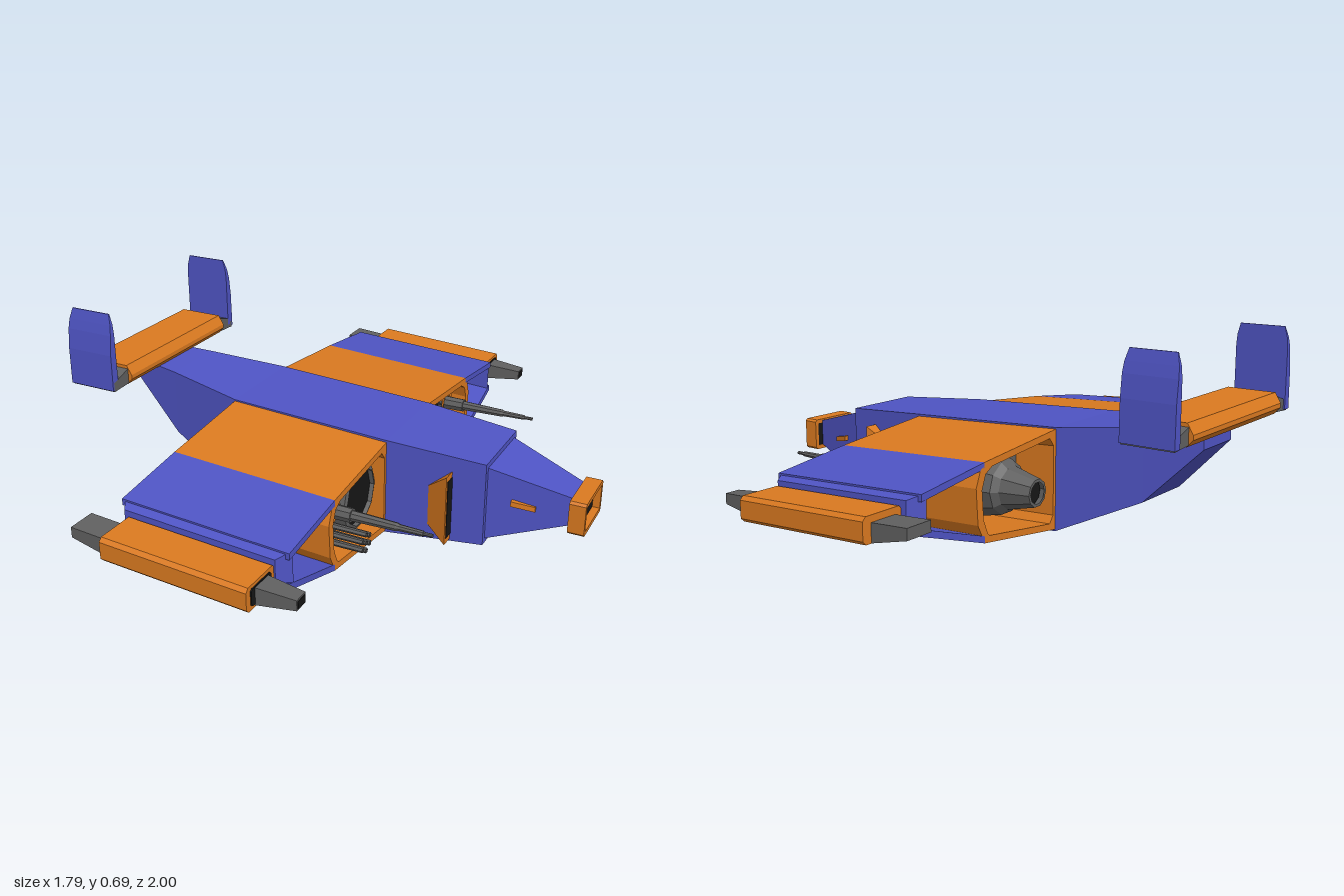
import * as THREE from 'three';

const paint = (color) => new THREE.MeshStandardMaterial({ color, flatShading: true, side: THREE.DoubleSide });
const blue = paint(0x4f54c4), orange = paint(0xdb7a20), grey = paint(0x606060), black = paint(0x161616);

const SLOPE = -0.055; // wings and pods drop slightly toward the nose
const FRONT = 0.235, REAR = -0.35;

export function createModel() {
  const model = new THREE.Group();

  function add(name, geometry, material, parent = model) {
    const mesh = new THREE.Mesh(geometry, material);
    mesh.name = name;
    parent.add(mesh);
    return mesh;
  }

  // Box along x whose two ends have their own [y0, y1, z0, z1]
  function taper(x0, a, x1, b) {
    const g = new THREE.BoxGeometry(1, 1, 1), p = g.attributes.position;
    for (let i = 0; i < p.count; i++) {
      const e = p.getX(i) < 0 ? a : b;
      p.setXYZ(i, p.getX(i) < 0 ? x0 : x1, p.getY(i) < 0 ? e[0] : e[1], p.getZ(i) < 0 ? e[2] : e[3]);
    }
    return g;
  }

  // [z, y] outline, optionally with a hole, extruded along x
  function prism(outline, x0, x1, hole) {
    const pts = (list) => list.map(([z, y]) => new THREE.Vector2(-z, y));
    const shape = new THREE.Shape(pts(outline));
    if (hole) shape.holes.push(new THREE.Path(pts(hole)));
    return new THREE.ExtrudeGeometry(shape, { depth: x1 - x0, bevelEnabled: false })
      .rotateY(Math.PI / 2).translate(x0, 0, 0);
  }

  // [x, radius] profile turned round an axis parallel to x
  function turned(profile, sides, y, z) {
    return new THREE.LatheGeometry(profile.map(([x, r]) => new THREE.Vector2(r, x)), sides)
      .rotateZ(-Math.PI / 2).translate(0, y, z);
  }

  // Shear y along x
  function pitch(g, x0 = FRONT) {
    const p = g.attributes.position;
    for (let i = 0; i < p.count; i++) p.setY(i, p.getY(i) + (p.getX(i) - x0) * SLOPE);
    g.computeVertexNormals();
    return g;
  }

  // Rectangle with cut corners as a [z, y] outline
  function cutRect(z0, z1, y0, y1, c) {
    return [[z0 + c, y0], [z1 - c, y0], [z1, y0 + c], [z1, y1 - c],
      [z1 - c, y1], [z0 + c, y1], [z0, y1 - c], [z0, y0 + c]];
  }

  // Fuselage: x, bottom, top, half width
  const stations = [[-0.83, 0.36, 0.425, 0.09], [-0.64, 0.17, 0.41, 0.12], [REAR, 0.035, 0.38, 0.173],
    [FRONT, 0.005, 0.35, 0.173], [0.575, 0.03, 0.325, 0.145]];
  const end = ([, lo, hi, w]) => [lo, hi, -w, w];
  for (let i = 0; i + 1 < stations.length; i++) {
    const a = stations[i], b = stations[i + 1];
    add('fuselage', taper(a[0], end(a), b[0], end(b)), blue);
  }

  // Nose cone and framed sensor
  add('nose', taper(0.57, [0.045, 0.308, -0.128, 0.128], 0.845, [0.135, 0.23, -0.062, 0.062]), blue);
  add('noseFrame', prism(cutRect(-0.1, 0.1, 0.12, 0.237, 0.008), 0.84, 0.895,
    [[-0.086, 0.135], [0.086, 0.135], [0.086, 0.222], [-0.086, 0.222]]), orange);
  add('sensor', taper(0.842, [0.13, 0.226, -0.09, 0.09], 0.87, [0.13, 0.226, -0.09, 0.09]), black);

  // Tailplane
  const tail = new THREE.Group();
  tail.name = 'tail';
  model.add(tail);
  const section = new THREE.Shape([[-0.9, 0.437], [-0.88, 0.415], [-0.715, 0.415], [-0.695, 0.437],
    [-0.695, 0.452], [-0.715, 0.485], [-0.88, 0.485], [-0.9, 0.452]].map(([x, y]) => new THREE.Vector2(x, y)));
  add('tailplane', new THREE.ExtrudeGeometry(section, { depth: 0.59, bevelEnabled: false })
    .translate(0, 0, -0.295), orange, tail);

  for (const s of [1, -1]) {
    const side = new THREE.Group();
    side.name = s > 0 ? 'leftSide' : 'rightSide';
    model.add(side);
    const at = (outline) => outline.map(([z, y]) => [z * s, y]);
    const span = (y0, y1, z0, z1) => (s > 0 ? [y0, y1, z0, z1] : [y0, y1, -z1, -z0]);
    const put = (name, geometry, material) => add(name, geometry, material, side);

    // Tail tip and upright fin with curved outer face and cut top corners
    put('tailTip', prism(at([[0.29, 0.42], [0.375, 0.415], [0.375, 0.447], [0.29, 0.475]]), -0.885, -0.71), grey);
    const fin = [[0.42, 0.382, 0], [0.55, 0.38, 0], [0.62, 0.372, 0], [0.655, 0.365, 0.003], [0.692, 0.356, 0.013]];
    for (let i = 0; i + 1 < fin.length; i++) {
      const [y0, z0, c0] = fin[i], [y1, z1, c1] = fin[i + 1];
      const g = new THREE.BoxGeometry(1, 1, 1), p = g.attributes.position;
      for (let k = 0; k < p.count; k++) {
        const up = p.getY(k) > 0, c = up ? c1 : c0;
        p.setXYZ(k, p.getX(k) < 0 ? -0.89 + c : -0.71 - c, up ? y1 : y0,
          s * (p.getZ(k) * s > 0 ? (up ? z1 : z0) : 0.352));
      }
      put('fin', g, blue);
    }

    // Wing skins, open at front and back
    const skins = [
      ['upperInnerSkin', [[0.15, 0.345], [0.54, 0.307], [0.54, 0.285], [0.15, 0.323]], orange],
      ['lowerInnerSkin', [[0.15, 0.006], [0.54, 0.058], [0.54, 0.08], [0.15, 0.028]], orange],
      ['upperOuterSkin', [[0.54, 0.307], [0.82, 0.272], [0.82, 0.25], [0.54, 0.287]], blue],
      ['lowerOuterSkin', [[0.54, 0.058], [0.82, 0.15], [0.82, 0.172], [0.54, 0.08]], blue],
      ['ductWall', [[0.53, 0.307], [0.56, 0.285], [0.58, 0.235], [0.572, 0.12], [0.54, 0.058],
        [0.5, 0.058], [0.525, 0.085], [0.545, 0.13], [0.552, 0.225], [0.535, 0.27], [0.5, 0.29], [0.5, 0.307]], orange],
      ['rootFairing', [[0.16, 0.335], [0.215, 0.328], [0.185, 0.29], [0.185, 0.06], [0.215, 0.02], [0.16, 0.015]], orange],
    ];
    for (const [name, outline, material] of skins)
      put(name, pitch(prism(at(outline), REAR, FRONT)), material);

    // Wing tip with chamfered corners in plan
    const tip = taper(REAR, span(0.15, 0.272, 0.8, 0.85), FRONT, span(0.15, 0.272, 0.8, 0.85));
    const tp = tip.attributes.position;
    for (let i = 0; i < tp.count; i++) if (Math.abs(tp.getZ(i)) > 0.84) {
      tp.setX(i, tp.getX(i) < 0 ? -0.32 : 0.205);
      tp.setY(i, tp.getY(i) < 0.2 ? 0.168 : 0.258);
    }
    put('wingTip', pitch(tip), blue);

    // Wingtip pod with intake and exhaust
    put('pod', pitch(prism(at(cutRect(0.845, 1, 0.165, 0.245, 0.012)), -0.3, 0.2), 0.2), orange);
    put('podMuzzle', taper(0.19, span(0.172, 0.232, 0.885, 0.96), 0.33, span(0.186, 0.22, 0.898, 0.948)), grey);
    put('muzzleSlot', taper(0.325, span(0.191, 0.215, 0.903, 0.943), 0.332, span(0.191, 0.215, 0.903, 0.943)), black);
    put('podCollar', prism(at(cutRect(0.87, 0.978, 0.178, 0.234, 0.006)), 0.18, 0.204), black);
    put('podExhaust', taper(-0.43, span(0.225, 0.26, 0.872, 0.968), -0.28, span(0.188, 0.25, 0.872, 0.968)), grey);

    // Engine
    put('engine', turned([[-0.37, 0.036], [-0.37, 0.046], [-0.27, 0.07], [-0.25, 0.09], [-0.15, 0.112],
      [0.15, 0.116], [0.2, 0.114], [0.205, 0.1], [0.17, 0.096]], 10, 0.195, s * 0.3), grey);
    put('engineFace', turned([[0.15, 0.112], [0.19, 0.1], [0.19, 0]], 10, 0.195, s * 0.3), black);
    put('nozzleCore', turned([[-0.35, 0], [-0.35, 0.042]], 10, 0.195, s * 0.3), black);
    put('engineMount', taper(-0.2, span(0.12, 0.27, 0.16, 0.22), 0.15, span(0.12, 0.27, 0.16, 0.22)), grey);

    // Cannon in its orange housing
    put('cannonHousing', turned([[-0.12, 0], [-0.12, 0.04], [-0.05, 0.06], [0.15, 0.06], [0.19, 0.05],
      [0.19, 0.032], [0.13, 0.032], [0.13, 0]], 12, 0.225, s * 0.47), orange);
    put('cannonBarrel', turned([[0.1, 0], [0.1, 0.026], [0.26, 0.024], [0.26, 0.018], [0.41, 0.014],
      [0.42, 0.011], [0.5, 0.009], [0.5, 0.006], [0.53, 0.006], [0.53, 0]], 8, 0.225, s * 0.47), grey);
    put('cannonMount', taper(-0.08, span(0.2, 0.25, 0.5, 0.56), 0.13, span(0.2, 0.25, 0.5, 0.56)), orange);

    // Cluster of small barrels below the cannon
    put('clusterBody', turned([[-0.05, 0], [-0.05, 0.045], [0.17, 0.045], [0.17, 0]], 6, 0.128, s * 0.45), grey);
    for (let i = 0; i < 7; i++) {
      const r = i ? 0.029 : 0, a = i * Math.PI / 3 + Math.PI / 6;
      put('clusterBarrel', turned([[0.1, 0.011], [0.3, 0.009], [0.3, 0.005], [0.27, 0]], 6,
        0.128 + r * Math.sin(a), s * (0.45 + r * Math.cos(a))), grey);
    }

    // Side scoop and nose vent
    put('sideScoop', taper(0.385, span(0.07, 0.215, 0.14, 0.163), 0.463, span(0.03, 0.28, 0.14, 0.203)), orange);
    put('scoopOpening', taper(0.455, span(0.05, 0.26, 0.14, 0.193), 0.465, span(0.05, 0.26, 0.14, 0.193)), black);
    put('noseVent', taper(0.655, span(0.185, 0.203, 0.09, 0.125), 0.73, span(0.168, 0.186, 0.08, 0.096)), orange);
  }
  return model;
}
